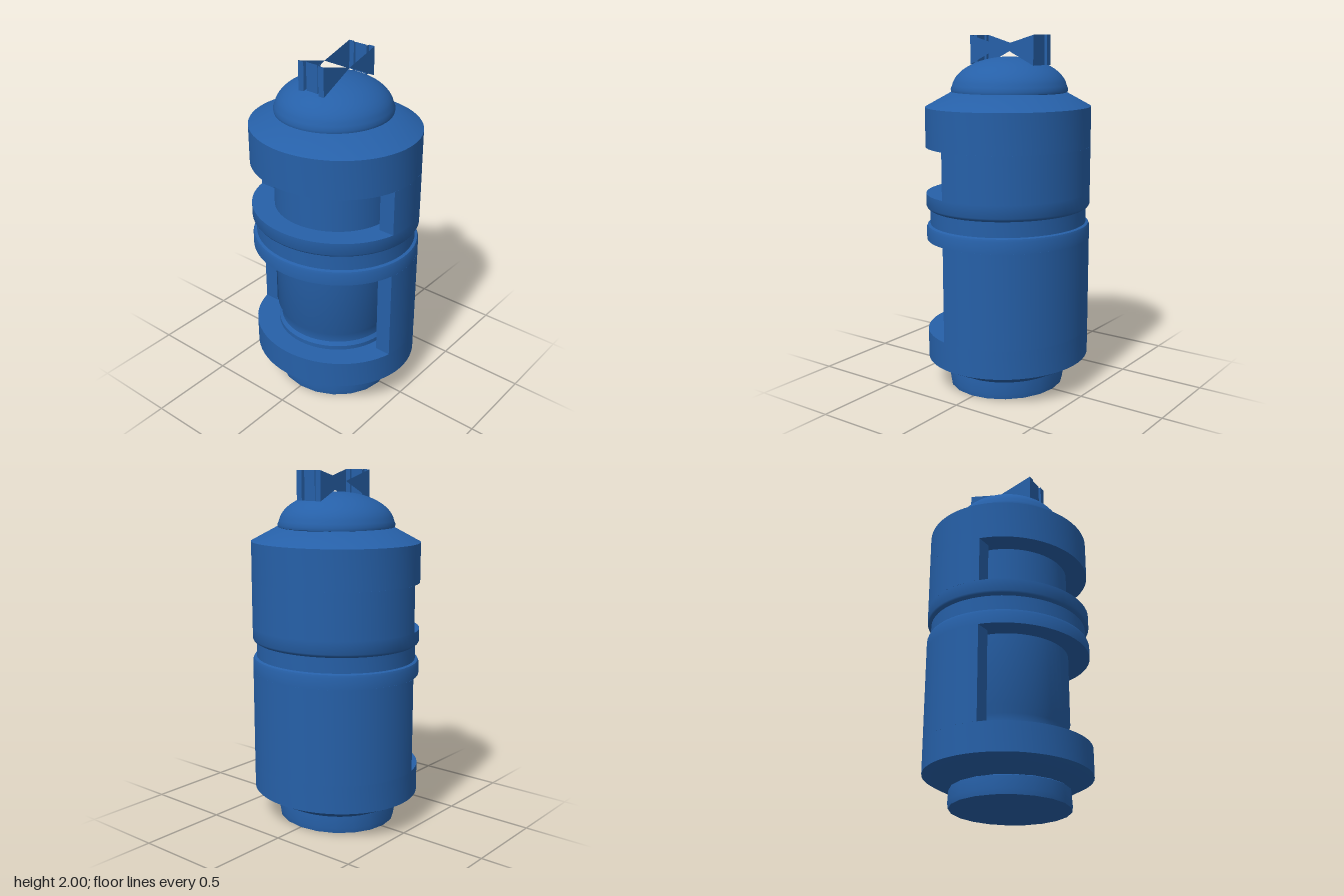
import * as THREE from 'three';
import { toCreasedNormals } from 'three/addons/utils/BufferGeometryUtils.js';

const A = 0.488, B = 0.452; // half-width and half-depth of the oval body

export function createModel() {
  const group = new THREE.Group();
  const blue = new THREE.MeshStandardMaterial({ color: 0x2660a8 });
  blue.name = 'blue';
  const blueSheet = blue.clone();
  blueSheet.name = 'blue';
  blueSheet.side = THREE.DoubleSide;

  const add = (name, geometry, material = blue) => {
    const mesh = new THREE.Mesh(geometry, material);
    mesh.name = name;
    group.add(mesh);
    return mesh;
  };

  // Turned part, squashed in depth to an oval
  const turned = (name, profile, depth = B / A, sides = 64) => {
    const points = profile.map(([r, y]) => new THREE.Vector2(r, y));
    const geometry = new THREE.LatheGeometry(points, sides);
    geometry.scale(1, 1, depth);
    return add(name, toCreasedNormals(geometry, 0.65));
  };

  // Foot under the body
  const foot = turned('foot', [[0, 0], [0.345, 0], [0.35, 0.03], [0.345, 0.1], [0.3, 0.13]], 0.93, 20);
  foot.position.z = 0.012;

  // Inner core seen through the windows
  turned('innerCore', [
    [0.345, 0.3], [0.345, 0.36], [0.328, 0.38], [0.328, 0.43],
    [0.35, 0.47], [0.35, 1.0], [0.35, 1.45],
  ], 0.957);

  // Lower bowl, middle bands and shoulder, each a full ring
  turned('lowerBowl', [
    [0.3, 0.09], [0.34, 0.1], [A, 0.175], [A, 0.335], [0.34, 0.335],
  ]);
  turned('middleBands', [
    [0.34, 0.87], [A, 0.87], [A, 0.935], [0.482, 0.95], [0.466, 0.955],
    [0.466, 1.04], [0.482, 1.05], [A, 1.06], [A, 1.13], [0.34, 1.13],
  ]);
  turned('shoulder', [
    [0.34, 1.39], [A, 1.39], [A, 1.61], [0.335, 1.69], [0.25, 1.69],
  ]);

  // Back shell between the rings, open at the front
  const cut = 0.1, innerA = 0.4, innerB = 0.368;
  const outerAngle = Math.asin(cut / B), innerAngle = Math.asin(cut / innerB);
  const section = new THREE.Shape();
  section.absellipse(0, 0, A, B, -outerAngle, Math.PI + outerAngle, false, 0);
  section.absellipse(0, 0, innerA, innerB, Math.PI + innerAngle, -innerAngle, true, 0);
  for (const [name, bottom, top] of [['lowerShell', 0.335, 0.87], ['upperShell', 1.13, 1.39]]) {
    const geometry = new THREE.ExtrudeGeometry(section, {
      depth: top - bottom, bevelEnabled: false, curveSegments: 40,
    });
    geometry.rotateX(-Math.PI / 2);
    geometry.translate(0, bottom, 0);
    add(name, toCreasedNormals(geometry, 0.5));
  }

  // Domed lid with a small rolled lip
  const dome = [[0.3, 1.68], [0.325, 1.69], [0.328, 1.705]];
  for (let i = 1; i <= 14; i++) {
    const t = (i / 14) * Math.PI / 2;
    dome.push([Math.max(0.322 * Math.cos(t), 0), 1.705 + 0.177 * Math.sin(t)]);
  }
  turned('domeLid', dome, 1).position.x = -0.008;

  // Thin sheet handle: two pinched side sheets and two ribbed end plates
  const pinch = [1.94, -0.01];
  const ends = [0.2, -0.222];
  for (const x of [-0.083, 0.087]) {
    const corners = [];
    for (const z of ends) corners.push(x, 1.838, z, x, 2, z, x, ...pinch);
    const sheet = new THREE.BufferGeometry();
    sheet.setAttribute('position', new THREE.Float32BufferAttribute(corners, 3));
    sheet.computeVertexNormals();
    add('handleSide', sheet, blueSheet);
  }
  const fold = [[-0.083, 0], [-0.047, 0], [-0.045, 0.02], [-0.037, 0.02], [-0.035, 0.008],
    [0.039, 0.008], [0.041, 0.02], [0.049, 0.02], [0.051, 0], [0.087, 0]];
  for (const z of ends) {
    const corners = [], faces = [];
    fold.forEach(([x, inset], i) => {
      const zi = z - Math.sign(z) * inset;
      corners.push(x, 1.838, zi, x, 2, zi);
      const k = 2 * i;
      if (i < fold.length - 1) faces.push(k, k + 2, k + 1, k + 1, k + 2, k + 3);
    });
    const plate = new THREE.BufferGeometry();
    plate.setAttribute('position', new THREE.Float32BufferAttribute(corners, 3));
    plate.setIndex(z > 0 ? faces : faces.reverse());
    add('handleEnd', toCreasedNormals(plate, 0.3), blueSheet);
  }

  return group;
}
